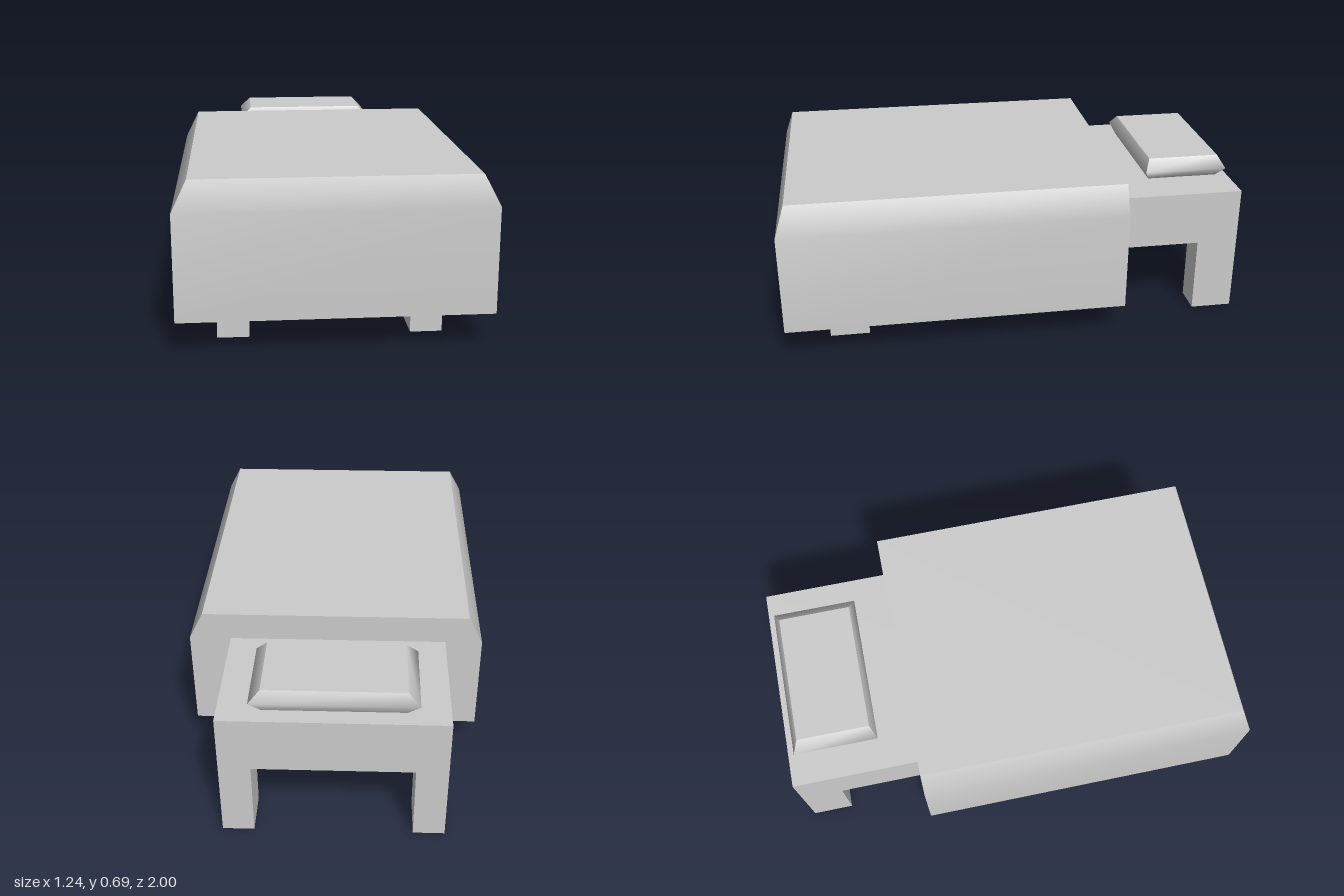
import * as THREE from 'three';
import { mergeGeometries } from 'three/addons/utils/BufferGeometryUtils.js';

const material = new THREE.MeshStandardMaterial({ color: 0xcccccc });

// Bed footprint and heights
const bed = { x0: -0.465, x1: 0.445, z0: -1, z1: 0.82, under: 0.33, top: 0.57 };

// Upright strip of quads, smooth along its height; rows run bottom to top as [left, right]
function strip(rows) {
  const index = [];
  for (let i = 0; i < rows.length - 1; i++) {
    const a = i * 2;
    index.push(a, a + 1, a + 3, a, a + 3, a + 2);
  }
  const g = new THREE.BufferGeometry();
  g.setAttribute('position', new THREE.Float32BufferAttribute(rows.flat(2), 3));
  g.setIndex(index);
  g.computeVertexNormals();
  return g;
}

// Corners of a rectangular level: front right, front left, back left, back right
const corners = ({ y, x0, x1, z0, z1 }) => [[x0, y, z1], [x1, y, z1], [x1, y, z0], [x0, y, z0]];

// Side strips (0 front, 1 left, 2 back, 3 right) through stacked levels
function sides(levels, which) {
  const rings = levels.map(corners);
  return which.map((i) => strip(rings.map((r) => [r[i], r[(i + 1) % 4]])));
}

function topCap(level) {
  const [a, b, c, d] = corners(level);
  return strip([[a, b], [d, c]]);
}

function bottomCap(level) {
  const [a, b, c, d] = corners(level);
  return strip([[d, c], [a, b]]);
}

function flat(points) {
  const g = new THREE.ShapeGeometry(new THREE.Shape(points.map((p) => new THREE.Vector2(...p))));
  g.deleteAttribute('uv');
  return g;
}

function addMesh(group, name, geometry) {
  const mesh = new THREE.Mesh(geometry, material);
  mesh.name = name;
  group.add(mesh);
}

function addBox(group, name, x0, x1, y0, y1, z0, z1) {
  const g = new THREE.BoxGeometry(x1 - x0, y1 - y0, z1 - z0);
  g.translate((x0 + x1) / 2, (y0 + y1) / 2, (z0 + z1) / 2);
  addMesh(group, name, g);
}

function blanketGeometry() {
  const w = 0.62, hem = 0.14, z0 = -0.45, z1 = 1;
  const { x0: bx0, x1: bx1, z1: bz, under, top } = bed;
  const levels = [
    { y: hem, x0: -w, x1: w, z0, z1 },
    { y: 0.57, x0: -w, x1: w, z0, z1 },
    { y: 0.69, x0: -0.56, x1: 0.56, z0, z1: 0.96 },
  ];
  // Head end: arch around the mattress
  const arch = flat([
    [-w, hem], [-bx1, hem], [-bx1, top], [-bx0, top], [-bx0, hem],
    [w, hem], [w, 0.57], [0.56, 0.69], [-0.56, 0.69], [-w, 0.57],
  ]).rotateY(Math.PI).translate(0, 0, z0);
  // Hem: U-shaped underside
  const hemFace = flat([
    [-w, z0], [bx0, z0], [bx0, bz], [bx1, bz], [bx1, z0], [w, z0], [w, z1], [-w, z1],
  ]).rotateX(Math.PI / 2).translate(0, hem, 0);
  // Inner walls hanging below the mattress
  const wall = (xa, za, xb, zb) => strip([hem, under].map((y) => [[xa, y, za], [xb, y, zb]]));
  return mergeGeometries([
    ...sides(levels, [0, 1, 3]), topCap(levels[2]), arch, hemFace,
    wall(bx1, z0, bx1, bz), wall(bx0, bz, bx0, z0), wall(bx1, bz, bx0, bz),
  ]);
}

function pillowGeometry() {
  const inner = { x0: -0.295, x1: 0.27, z0: -0.94, z1: -0.627 };
  const levels = [
    { y: 0.58, ...inner },
    { y: 0.628, x0: -0.343, x1: 0.317, z0: -0.967, z1: -0.602 },
    { y: 0.676, ...inner },
  ];
  return mergeGeometries([
    ...sides(levels, [0, 1, 2, 3]), topCap(levels[2]), bottomCap(levels[0]),
  ]);
}

export function createModel() {
  const model = new THREE.Group();
  model.name = 'bed';

  addBox(model, 'mattress', bed.x0, bed.x1, bed.under, bed.top, bed.z0, bed.z1);

  // Legs, flush with the corners of the mattress
  for (const [end, z0, z1] of [['front', 0.65, 0.82], ['back', -1, -0.82]]) {
    addBox(model, end + 'RightLeg', bed.x0, bed.x0 + 0.13, 0, bed.under, z0, z1);
    addBox(model, end + 'LeftLeg', bed.x1 - 0.13, bed.x1, 0, bed.under, z0, z1);
  }

  addMesh(model, 'blanket', blanketGeometry());
  addMesh(model, 'pillow', pillowGeometry());
  return model;
}
